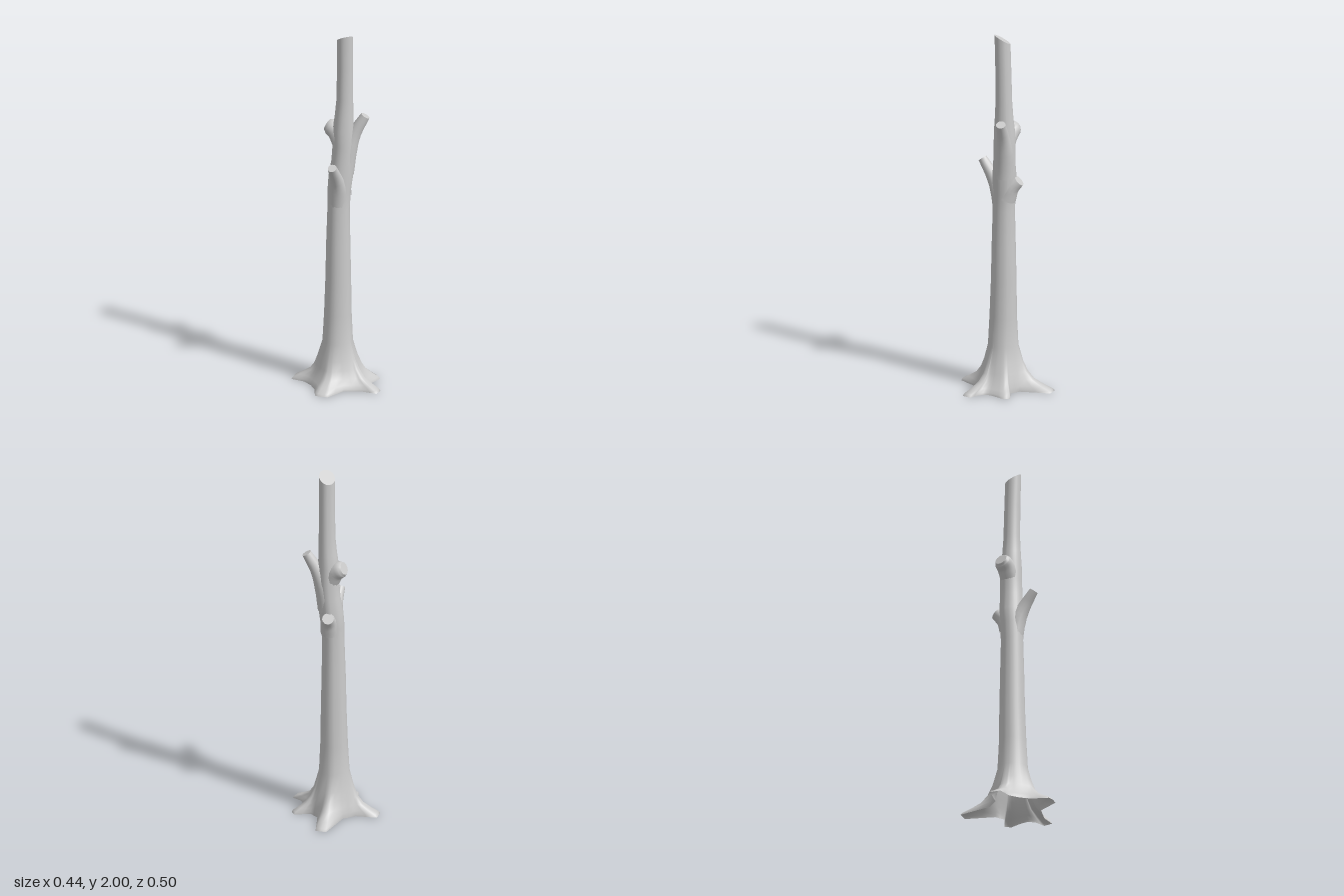
import * as THREE from 'three';

const material = new THREE.MeshStandardMaterial({ color: 0xcccccc, side: THREE.DoubleSide });
const V = (x, y, z) => new THREE.Vector3(x, y, z);

function build(name, points, index) {
  const geometry = new THREE.BufferGeometry().setFromPoints(points);
  geometry.setIndex(index);
  geometry.computeVertexNormals();
  const mesh = new THREE.Mesh(geometry, material);
  mesh.name = name;
  return mesh;
}

// Smooth skin through closed rings, with a crisp flat cut on the last ring
function loft(name, rings) {
  const n = rings[0].length, index = [];
  for (let j = 0; j < rings.length - 1; j++) {
    for (let i = 0; i < n; i++) {
      const a = j * n + i, b = j * n + (i + 1) % n;
      index.push(a, a + n, b, b, a + n, b + n);
    }
  }
  const end = rings[rings.length - 1];
  const middle = end.reduce((s, p) => s.add(p), V(0, 0, 0)).divideScalar(n);
  const fan = end.flatMap((p, i) => [n, (i + 1) % n, i]);
  const group = new THREE.Group();
  group.name = name;
  group.add(build(name + 'Bark', rings.flat(), index), build(name + 'Cut', [...end, middle], fan));
  return group;
}

// Tapered limb along [x, y, z, radius] stations
function limb(name, stations, sides = 14) {
  const curve = new THREE.CatmullRomCurve3(stations.map(s => V(s[0], s[1], s[2])));
  const steps = (stations.length - 1) * 3, rings = [];
  for (let j = 0; j <= steps; j++) {
    const t = j / steps, c = curve.getPoint(t), T = curve.getTangent(t);
    const k = Math.min(Math.floor(j / 3), stations.length - 2);
    const r = THREE.MathUtils.lerp(stations[k][3], stations[k + 1][3], j / 3 - k);
    const N = V(1, 0, 0.3).addScaledVector(T, -T.dot(V(1, 0, 0.3))).normalize();
    const B = N.clone().cross(T);
    rings.push(Array.from({ length: sides }, (_, i) => {
      const a = i / sides * Math.PI * 2;
      return c.clone().addScaledVector(N, r * Math.cos(a)).addScaledVector(B, r * Math.sin(a));
    }));
  }
  return loft(name, rings);
}

// Star-shaped footprint of the five roots, as x, z
const footprint = [
  [0.133, -0.253], [0.18, -0.218], [0.115, -0.065], [0.133, -0.009], [0.22, 0.012], [0.22, 0.05],
  [0.156, 0.091], [0.127, 0.12], [0.128, 0.165], [0.156, 0.217], [0.118, 0.25], [0.062, 0.193],
  [-0.03, 0.15], [-0.144, 0.2], [-0.175, 0.18], [-0.197, 0.15], [-0.163, 0.062], [-0.16, 0],
  [-0.172, -0.065], [-0.221, -0.125], [-0.184, -0.173], [-0.083, -0.116], [-0.008, -0.125],
];

// Trunk stations: height, centre x, centre z, radius, share of the root footprint
const trunkStations = [
  [0, 0, 0, 0.13, 1], [0.012, 0, 0, 0.128, 0.93], [0.03, 0, 0, 0.124, 0.66],
  [0.06, 0, 0, 0.118, 0.32], [0.1, 0, 0, 0.108, 0.16], [0.15, -0.003, 0, 0.099, 0.07],
  [0.24, -0.004, 0, 0.082, 0], [0.4, -0.003, 0, 0.074, 0], [0.6, 0, -0.002, 0.069, 0],
  [0.8, 0, -0.002, 0.065, 0], [1, 0.002, -0.002, 0.06, 0], [1.1, 0.006, -0.003, 0.063, 0],
  [1.18, 0.015, -0.003, 0.066, 0], [1.27, 0.024, 0, 0.06, 0], [1.36, 0.03, 0, 0.059, 0],
  [1.45, 0.028, 0, 0.057, 0], [1.53, 0.032, 0.003, 0.05, 0], [1.62, 0.035, 0.005, 0.045, 0],
  [1.8, 0.035, 0.008, 0.043, 0], [1.972, 0.033, 0.012, 0.043, 0],
];

function trunk() {
  // Midpoints double the resolution of the outline
  const outline = footprint.flatMap(([x, z], i) => {
    const [u, w] = footprint[(i + 1) % footprint.length];
    return [[x, z], [(x + u) / 2, (z + w) / 2]];
  });
  const rings = trunkStations.map(([y, cx, cz, r, root], j) => outline.map(([x, z]) => {
    const R = Math.hypot(x, z), d = THREE.MathUtils.lerp(r, R, root) / R;
    const p = V(cx + x * d, y, cz + z * d);
    // Slanted saw cut at the top
    if (j === trunkStations.length - 1) p.y += (p.z - cz) * 0.6;
    return p;
  }));
  return loft('trunk', rings);
}

export function createModel() {
  const model = new THREE.Group();
  model.name = 'treeTrunk';
  model.add(
    trunk(),
    limb('upperBranch', [[0.03, 1.2, 0.002, 0.056], [0.055, 1.34, 0.008, 0.05],
      [0.088, 1.43, 0.022, 0.036], [0.138, 1.525, 0.045, 0.026]]),
    limb('lowerBranch', [[-0.002, 1.03, 0.005, 0.054], [-0.012, 1.12, 0.022, 0.05],
      [-0.04, 1.2, 0.06, 0.033], [-0.076, 1.272, 0.098, 0.024]]),
    // Stubs of sawn-off branches at the back
    limb('lowerKnot', [[0.022, 1.07, -0.012, 0.054], [0.036, 1.13, -0.032, 0.047],
      [0.058, 1.175, -0.074, 0.032]]),
    limb('upperKnot', [[0.022, 1.37, -0.006, 0.052], [0.002, 1.425, -0.032, 0.05],
      [-0.022, 1.45, -0.06, 0.046], [-0.034, 1.458, -0.073, 0.034]]),
  );
  return model;
}
